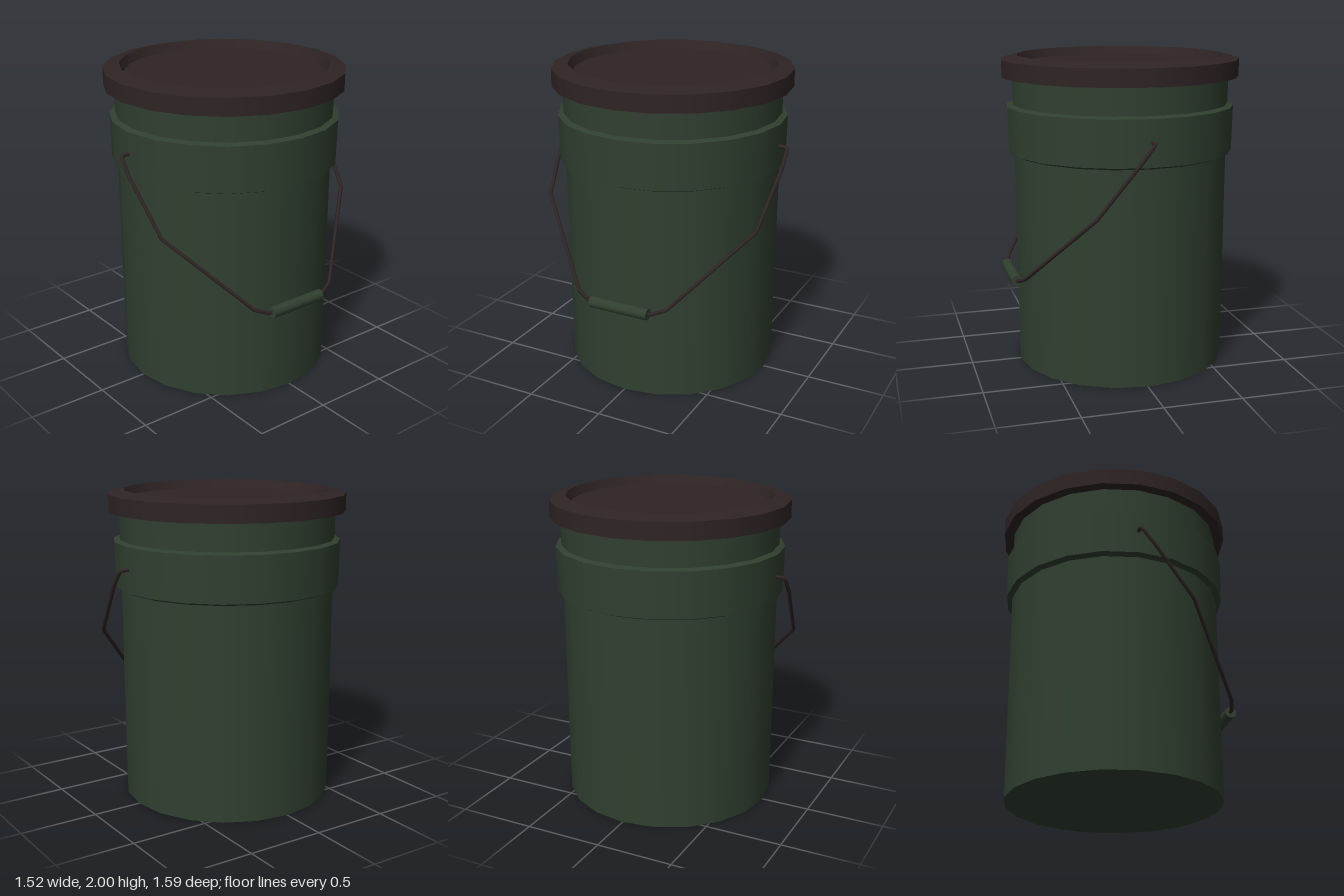
import * as THREE from 'three';
import { mergeGeometries } from 'three/addons/utils/BufferGeometryUtils.js';

const SIDES = 20;
const CENTRE_X = -0.005;

// Turned form, smooth around and sharp between the steps of the profile [radius, y]
function turned(profile) {
  const bands = [];
  for (let i = 0; i < profile.length - 1; i++) {
    const pts = [profile[i], profile[i + 1]].map(([r, y]) => new THREE.Vector2(r, y));
    bands.push(new THREE.LatheGeometry(pts, SIDES));
  }
  return mergeGeometries(bands);
}

// Polyline whose rings sit exactly on its corners
class BentWire extends THREE.Curve {
  constructor(points) {
    super();
    this.points = points;
  }
  getPointAt(u, target = new THREE.Vector3()) {
    return target.copy(this.points[Math.round(u * (this.points.length - 1))]);
  }
  getTangentAt(u, target = new THREE.Vector3()) {
    const p = this.points, i = Math.round(u * (p.length - 1));
    target.set(0, 0, 0);
    if (i > 0) target.add(p[i].clone().sub(p[i - 1]).normalize());
    if (i < p.length - 1) target.add(p[i + 1].clone().sub(p[i]).normalize());
    return target.normalize();
  }
}

export function createModel() {
  const green = new THREE.MeshStandardMaterial({ color: 0x304030 });
  green.name = 'dark green';
  const brown = new THREE.MeshStandardMaterial({ color: 0x2f2424 });
  brown.name = 'dark brown';

  const model = new THREE.Group();
  model.name = 'bucket';
  const add = (name, geometry, material, x = CENTRE_X, y = 0) => {
    const mesh = new THREE.Mesh(geometry, material);
    mesh.name = name;
    mesh.position.set(x, y, 0);
    model.add(mesh);
    return mesh;
  };

  // Tapered body with a raised collar
  add('body', turned([
    [0, 0], [0.682, 0], [0.69, 1.375], [0.725, 1.39],
    [0.732, 1.68], [0.695, 1.692], [0.697, 1.9],
  ]), green);

  // Lid with an overhanging rim and a sunken top
  add('lid', turned([
    [0.69, 1.865], [0.762, 1.865], [0.762, 1.975], [0.66, 2],
    [0.632, 1.945], [0, 1.945],
  ]), brown);

  // Hanging wire handle: half path as [z, y], mirrored, tilted out toward +x
  const half = [
    [0.7, 1.54], [0.768, 1.54], [0.78, 1.532], [0.784, 1.515],
    [0.784, 1.43], [0.735, 1.1], [0.31, 0.64], [0.22, 0.603], [0.15, 0.6],
  ];
  const path = [...half, ...half.map(([z, y]) => [-z, y]).reverse()];
  const points = path.map(([z, y]) => new THREE.Vector3((1.54 - y) * 0.775 - 0.007, y, z));
  add('handleWire', new THREE.TubeGeometry(new BentWire(points), points.length - 1, 0.012, 8), brown, 0);

  // Grip around the middle of the wire
  const grip = add('handleGrip', new THREE.CylinderGeometry(0.037, 0.037, 0.4, 10), green, 0.722, 0.6);
  grip.rotation.x = Math.PI / 2;

  return model;
}
